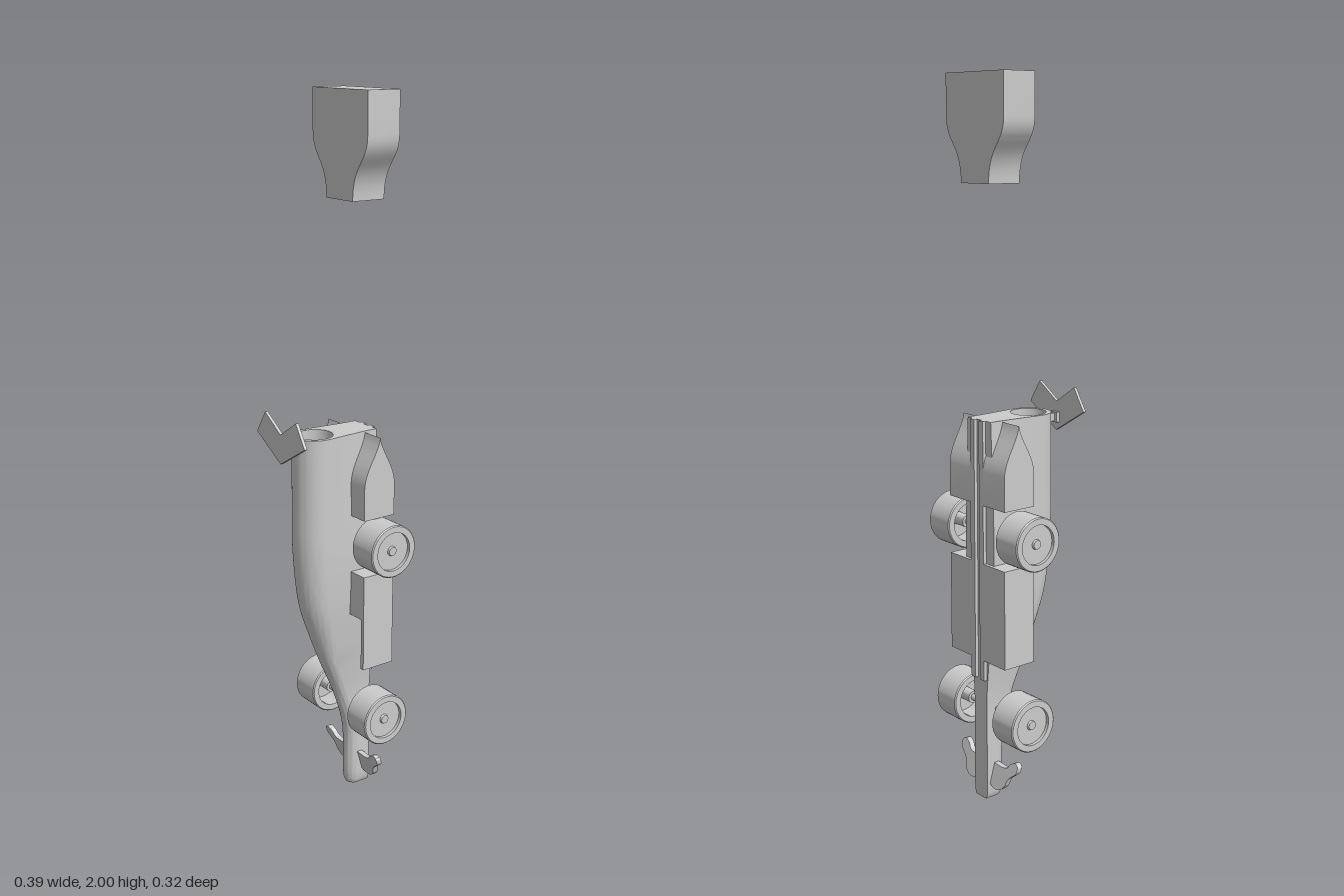
import * as THREE from 'three';
import { toCreasedNormals } from 'three/addons/utils/BufferGeometryUtils.js';

const CX = 0.008; // centre line of the bodywork
const FRONT = -0.033, BACK = -0.135; // depth range of the pods
const mat = new THREE.MeshStandardMaterial({ color: 0xcccccc, side: THREE.DoubleSide });

export function createModel() {
  const root = new THREE.Group();
  const add = (name, geo, x = 0, y = 0, z = 0) => {
    const m = new THREE.Mesh(geo, mat);
    m.name = name;
    m.position.set(x, y, z);
    root.add(m);
    return m;
  };
  const box = (name, x0, x1, y0, y1, z0, z1) =>
    add(name, new THREE.BoxGeometry(x1 - x0, y1 - y0, z1 - z0), (x0 + x1) / 2, (y0 + y1) / 2, (z0 + z1) / 2);
  const extrude = (shape, depth) =>
    toCreasedNormals(new THREE.ExtrudeGeometry(shape, { depth, bevelEnabled: false, curveSegments: 16 }), 0.6);
  // extrudes a side profile (drawn with -z, y) across x from x0 to x1
  const sideExtrude = (name, shape, x0, x1) => add(name, extrude(shape, x1 - x0).rotateY(Math.PI / 2), x0);
  const poly = (pts) => new THREE.Shape(pts.map(([a, b]) => new THREE.Vector2(a, b)));

  // Main body: arched cross-sections from nose to tail [y, front z, half width, back half width]
  const keys = [
    [0, -0.066, 0.022, 0.022], [0.015, -0.06, 0.028, 0.028], [0.19, -0.054, 0.028, 0.028],
    [0.305, -0.02, 0.028, 0.028], [0.4, 0.021, 0.036, 0.036], [0.495, 0.058, 0.047, 0.047],
    [0.6, 0.092, 0.057, 0.057], [0.76, 0.11, 0.062, 0.062], [0.9, 0.111, 0.062, 0.058], [1.097, 0.111, 0.062, 0.05],
  ];
  const curves = [1, 2, 3].map((k) => (y) => {
    // smooth interpolation of one column over y
    let i = 0;
    while (i < keys.length - 2 && y > keys[i + 1][0]) i++;
    const slope = (j) => {
      const a = keys[Math.max(j - 1, 0)], b = keys[Math.min(j + 1, keys.length - 1)];
      return (b[k] - a[k]) / (b[0] - a[0]);
    };
    const h = keys[i + 1][0] - keys[i][0], t = (y - keys[i][0]) / h, t2 = t * t, t3 = t2 * t;
    return (2 * t3 - 3 * t2 + 1) * keys[i][k] + (t3 - 2 * t2 + t) * h * slope(i)
      + (3 * t2 - 2 * t3) * keys[i + 1][k] + (t3 - t2) * h * slope(i + 1);
  });
  const ring = (y) => {
    const [zt, w, wb] = curves.map((f) => f(y));
    const zc = zt - w, zb = -0.125, pts = [[CX + wb, zb], [CX + wb, Math.min(-0.09, zc - 0.002)]];
    for (let i = 0; i <= 24; i++) {
      const a = (i / 24) * Math.PI;
      pts.push([CX + w * Math.cos(a), zc + w * Math.sin(a)]);
    }
    pts.push([CX - wb, pts[1][1]], [CX - wb, zb]);
    return pts;
  };
  const levels = [0, 0.007, 0.015];
  for (let i = 1; i <= 40; i++) levels.push(0.015 + (1.082 * i) / 40);
  const pos = [], idx = [], n = ring(0).length;
  levels.forEach((y, j) => {
    ring(y).forEach(([x, z]) => pos.push(x, y, z));
    if (!j) return;
    for (let i = 0; i < n; i++) {
      const a = (j - 1) * n + i, b = (j - 1) * n + ((i + 1) % n);
      idx.push(a, a + n, b, b, a + n, b + n);
    }
  });
  for (let i = 1; i < n - 1; i++) idx.push(0, i, i + 1);
  const hull = new THREE.BufferGeometry();
  hull.setAttribute('position', new THREE.Float32BufferAttribute(pos, 3));
  hull.setIndex(idx);
  add('body', toCreasedNormals(hull, 0.6));

  // Tail face with round chamber
  const tail = poly(ring(1.097).map(([x, z]) => [x, -z]));
  tail.holes.push(new THREE.Path().absarc(CX, -0.047, 0.05, 0, Math.PI * 2, true));
  add('tailFace', new THREE.ShapeGeometry(tail, 32).rotateX(-Math.PI / 2), 0, 1.097, 0);
  add('chamberWall', new THREE.CylinderGeometry(0.05, 0.05, 0.25, 40, 1, true), CX, 0.972, 0.047);
  add('chamberEnd', new THREE.CircleGeometry(0.05, 40).rotateX(-Math.PI / 2), CX, 0.847, 0.047);

  // Side pods, built as halves with a centre slot between them
  const podBox = poly([[-FRONT, 0.42], [-BACK, 0.42], [-BACK, 0.7], [-FRONT, 0.7]]);
  const scoop = new THREE.Shape();
  scoop.moveTo(0.115, 0.42);
  scoop.lineTo(-BACK, 0.42);
  scoop.lineTo(-BACK, 0.7);
  scoop.lineTo(-FRONT, 0.7);
  scoop.lineTo(-FRONT, 0.57);
  scoop.bezierCurveTo(0.08, 0.56, 0.105, 0.5, 0.115, 0.42);
  const ogive = new THREE.Shape();
  ogive.moveTo(-FRONT, 0.865);
  ogive.lineTo(-BACK, 0.865);
  ogive.lineTo(-BACK, 0.96);
  ogive.bezierCurveTo(0.132, 1.01, 0.092, 1.05, 0.085, 1.093);
  ogive.bezierCurveTo(0.078, 1.05, 0.036, 1.01, -FRONT, 0.96);
  const spans = (s, a, b) => (s > 0 ? [CX + a, CX + b] : [CX - b, CX - a]);
  for (const s of [1, -1]) {
    const side = s > 0 ? 'left' : 'right';
    sideExtrude(side + 'SidePod', scoop, ...spans(s, 0.01, 0.108));
    sideExtrude(side + 'SidePodWall', podBox, ...spans(s, 0.108, 0.12));
    sideExtrude(side + 'RearPod', ogive, ...spans(s, 0.01, 0.12));
    box(side + 'KeelRail', ...spans(s, 0.01, 0.028), 0.36, 1.097, BACK, -0.11);
  }

  // Wheels with recessed faces, on axles
  const wheel = (name, xIn, xOut, y) => {
    const w = Math.abs(xOut - xIn);
    const profile = [[0, 0.01], [0.018, 0.01], [0.018, w - 0.03], [0.055, w - 0.03], [0.055, 0], [0.072, 0], [0.075, 0.003],
      [0.075, w - 0.003], [0.072, w], [0.055, w], [0.055, w - 0.01], [0.014, w - 0.01], [0.012, w - 0.004], [0, w - 0.004]];
    const geo = new THREE.LatheGeometry(profile.map(([r, h]) => new THREE.Vector2(r, h)), 48);
    geo.rotateZ(xOut > xIn ? -Math.PI / 2 : Math.PI / 2);
    add(name, toCreasedNormals(geo, 0.6), xIn, y, -0.086);
  };
  const axle = (name, x0, x1, y) =>
    add(name, new THREE.CylinderGeometry(0.01, 0.01, x1 - x0, 20).rotateZ(Math.PI / 2), (x0 + x1) / 2, y, -0.086);
  wheel('leftFrontWheel', 0.081, 0.167, 0.265);
  wheel('rightFrontWheel', -0.086, -0.175, 0.265);
  wheel('leftRearWheel', 0.102, 0.192, 0.785);
  wheel('rightRearWheel', -0.104, -0.194, 0.785);
  axle('frontAxle', -0.14, 0.135, 0.265);
  axle('rearAxle', -0.16, 0.16, 0.785);

  // Front wing halves, leaning back toward the nose tip
  const wingPts = [[0.02, 0.107], [0.06, 0.104], [0.082, 0.108], [0.094, 0.122], [0.112, 0.13], [0.125, 0.122],
    [0.122, 0.103], [0.098, 0.082], [0.088, 0.058], [0.07, 0.042], [0.045, 0.04], [0.02, 0.052]];
  for (const s of [1, -1]) {
    const outline = new THREE.Shape();
    outline.moveTo(CX + s * wingPts[0][0], wingPts[0][1]);
    outline.splineThru(wingPts.slice(1).map(([x, y]) => new THREE.Vector2(CX + s * x, y)));
    const geo = new THREE.ExtrudeGeometry(outline, { depth: 0.016, bevelEnabled: false, curveSegments: 40 });
    const p = geo.attributes.position;
    for (let i = 0; i < p.count; i++) p.setZ(i, p.getZ(i) - 0.094 - (0.125 - p.getY(i)) * 0.28);
    add((s > 0 ? 'left' : 'right') + 'FrontWing', toCreasedNormals(geo, 0.6));
  }

  // V-shaped rear wing on a short strut
  const vee = poly([[CX, 1.115], [-0.065, 1.163], [-0.105, 1.1], [CX, 1.033], [0.121, 1.1], [0.081, 1.163]]);
  add('rearWing', extrude(vee, 0.009), 0, 0, 0.15);
  box('rearWingStrut', CX - 0.004, CX + 0.004, 1.06, 1.083, 0.1, 0.15);
  box('rearWingMount', CX - 0.013, CX + 0.013, 1.057, 1.086, 0.139, 0.15);

  // Separate bottle-shaped block above the tail
  const block = new THREE.Shape();
  block.moveTo(CX - 0.12, 2);
  block.lineTo(CX - 0.12, 1.89);
  block.bezierCurveTo(CX - 0.12, 1.82, CX - 0.058, 1.82, CX - 0.058, 1.72);
  block.lineTo(CX + 0.058, 1.72);
  block.bezierCurveTo(CX + 0.058, 1.82, CX + 0.12, 1.82, CX + 0.12, 1.89);
  block.lineTo(CX + 0.12, 2);
  add('upperBlock', extrude(block, 0.102), 0, 0, BACK);

  return root;
}
